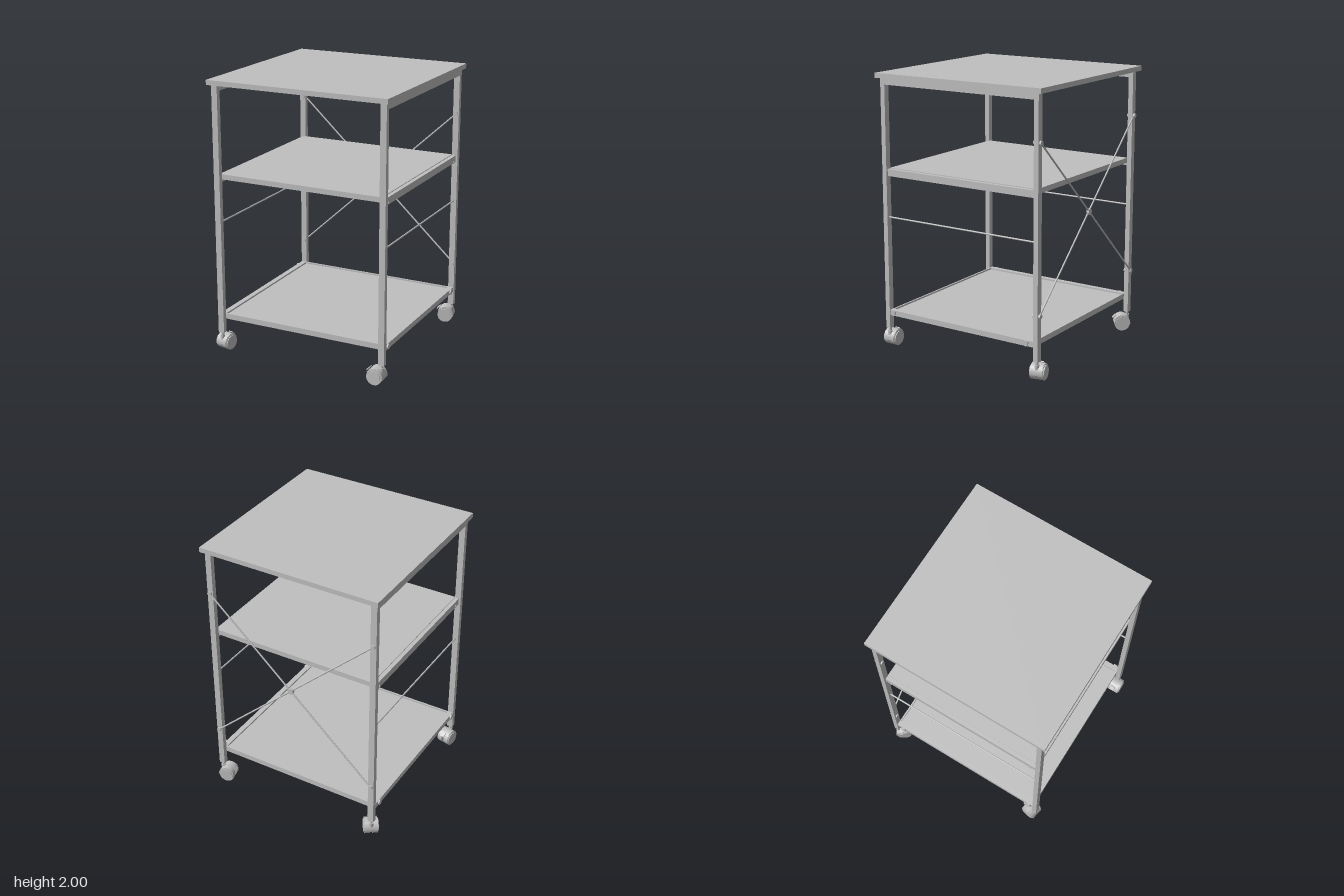
import * as THREE from 'three';

const metal = new THREE.MeshStandardMaterial({ color: 0xc0c0c0 });
metal.name = 'light grey';

const LEG_X = 0.6375, LEG_Z = 0.6325, LEG_W = 0.045, LEG_D = 0.036;

function add(parent, name, geometry, x = 0, y = 0, z = 0) {
  const mesh = new THREE.Mesh(geometry, metal);
  mesh.name = name;
  mesh.position.set(x, y, z);
  parent.add(mesh);
  return mesh;
}

// Box given by its lower and upper height
function slab(parent, name, w, d, y0, y1, x = 0, z = 0) {
  return add(parent, name, new THREE.BoxGeometry(w, y1 - y0, d), x, (y0 + y1) / 2, z);
}

// Round bar between two points
function rod(parent, name, a, b, radius, sides = 16) {
  const dir = b.clone().sub(a);
  const mesh = add(parent, name, new THREE.CylinderGeometry(radius, radius, dir.length(), sides));
  mesh.position.copy(a).add(b).multiplyScalar(0.5);
  mesh.quaternion.setFromUnitVectors(new THREE.Vector3(0, 1, 0), dir.normalize());
  return mesh;
}

// Twin-wheel caster, trailing along local +x, with its axle along local z
function caster(name) {
  const g = new THREE.Group();
  g.name = name;
  const cx = 0.04, cy = 0.057, r = 0.057;
  const v = (x, y, z) => new THREE.Vector3(x, y, z);
  for (const s of [-1, 1]) {
    rod(g, 'wheel', v(cx, cy, s * 0.008), v(cx, cy, s * 0.048), r, 32);
    rod(g, 'wheelCap', v(cx, cy, s * 0.048), v(cx, cy, s * 0.054), r * 0.85, 32);
  }
  rod(g, 'axle', v(cx, cy, -0.02), v(cx, cy, 0.02), 0.015);
  // Curved hood over the wheels
  const hood = new THREE.Shape();
  hood.absarc(cx, cy, r + 0.005, 0.5, Math.PI + 0.2, false);
  hood.absarc(cx, cy, r - 0.006, Math.PI + 0.2, 0.5, true);
  add(g, 'hood', new THREE.ExtrudeGeometry(hood, { depth: 0.09, bevelEnabled: false, curveSegments: 20 }), 0, 0, -0.045);
  // Stem and swivel housing
  rod(g, 'swivel', v(0, 0.05, 0), v(0, 0.118, 0), 0.017);
  rod(g, 'stem', v(0, 0.11, 0), v(0, 0.15, 0), 0.011);
  // Brake pedal
  const pedal = add(g, 'brakePedal', new THREE.BoxGeometry(0.034, 0.007, 0.036), cx + 0.056, 0.101, 0);
  pedal.rotation.z = -0.75;
  return g;
}

export function createModel() {
  const model = new THREE.Group();
  model.name = 'rollingCart';
  const v = (x, y, z) => new THREE.Vector3(x, y, z);

  // Table top and shelves
  slab(model, 'tableTop', 1.362, 1.362, 1.965, 2);
  slab(model, 'middleShelf', 1.23, 1.23, 1.288, 1.325);
  slab(model, 'bottomShelf', 1.23, 1.21, 0.242, 0.268);
  for (const s of [-1, 1]) slab(model, 'bottomShelfLip', 1.23, 0.012, 0.24, 0.28, 0, s * 0.609);

  // Side frames
  for (const s of [-1, 1]) {
    const side = new THREE.Group();
    side.name = s > 0 ? 'leftFrame' : 'rightFrame';
    model.add(side);
    for (const t of [-1, 1]) slab(side, 'leg', LEG_W, LEG_D, 0.14, 1.965, s * LEG_X, t * LEG_Z);
    slab(side, 'topRail', LEG_W, 1.23, 1.92, 1.965, s * LEG_X);
    slab(side, 'middleRail', 0.03, 1.23, 1.27, 1.32, s * 0.63);
    slab(side, 'bottomRail', 0.04, 1.23, 0.24, 0.28, s * 0.635);
    rod(side, 'sideRod', v(s * LEG_X, 0.97, -0.62), v(s * LEG_X, 0.97, 0.62), 0.006);
    // Bolts through the rails
    for (const z of [-0.556, 0.582]) {
      rod(side, 'bottomBolt', v(s * 0.645, 0.261, z), v(s * 0.666, 0.261, z), 0.019);
    }
    for (const z of [-0.57, 0.57]) {
      rod(side, 'shelfBolt', v(s * 0.62, 1.28, z), v(s * 0.649, 1.28, z), 0.009);
    }
    // Bolts holding the rear brace
    for (const y of [0.462, 1.638]) {
      rod(side, 'braceBolt', v(s * LEG_X, y, -0.605), v(s * LEG_X, y, -0.664), 0.016);
    }
  }

  // Crossed rear brace
  for (const s of [-1, 1]) {
    const z = -0.653 - s * 0.003;
    rod(model, 'crossBrace', v(-s * LEG_X, 0.462, z), v(s * LEG_X, 1.638, z), 0.006);
  }
  rod(model, 'braceHub', v(0, 1.05, -0.645), v(0, 1.05, -0.664), 0.022, 24);

  // Casters, each swivelled its own way
  const headings = [
    ['frontLeftCaster', 1, 1, Math.PI],
    ['backLeftCaster', 1, -1, Math.PI + 0.2],
    ['frontRightCaster', -1, 1, Math.PI / 2 - 0.2],
    ['backRightCaster', -1, -1, -0.95],
  ];
  for (const [name, sx, sz, yaw] of headings) {
    const c = caster(name);
    c.position.set(sx * LEG_X, 0, sz * LEG_Z);
    c.rotation.y = yaw;
    model.add(c);
  }
  return model;
}
